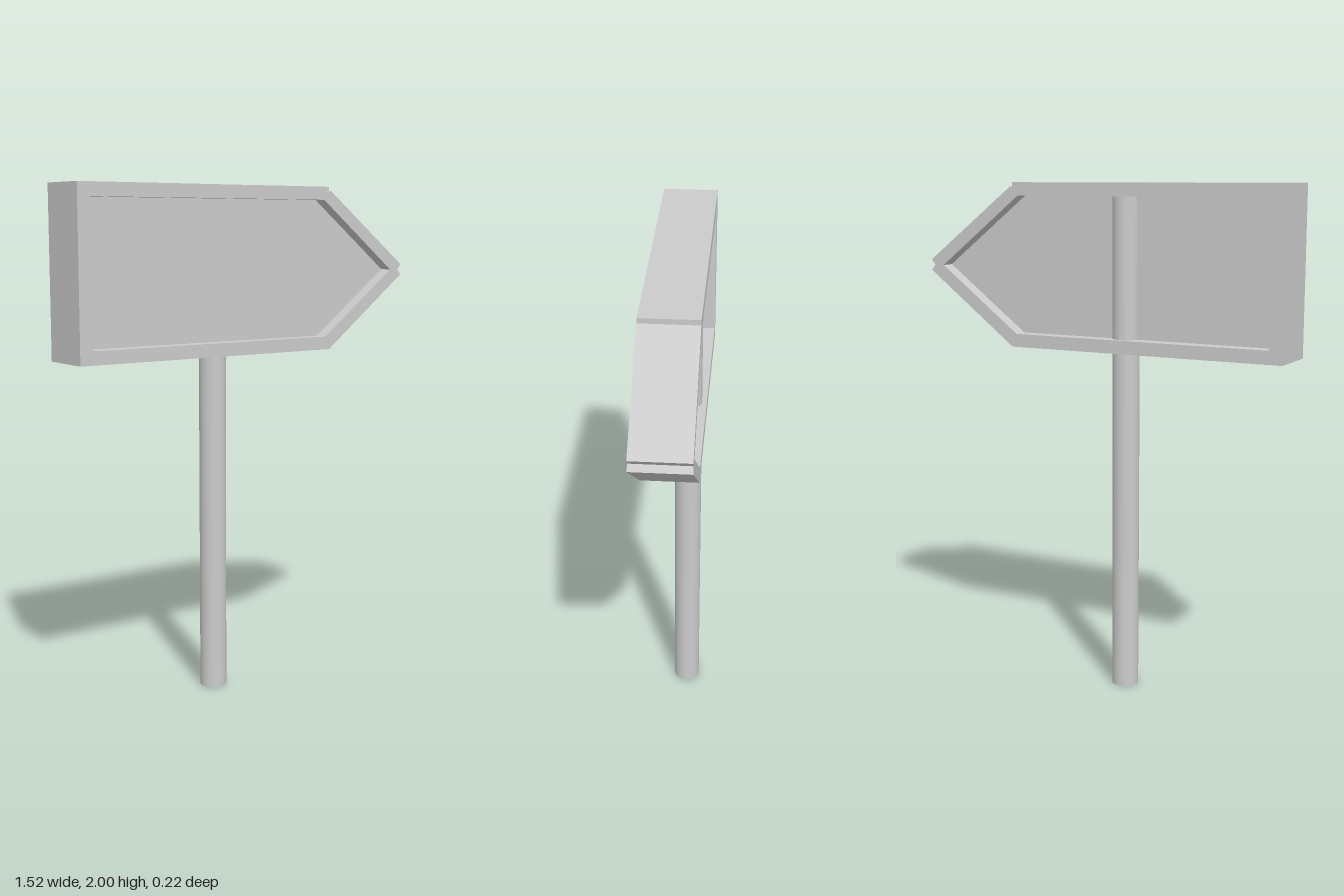
import * as THREE from 'three';

const material = new THREE.MeshStandardMaterial({ color: 0xcccccc });

const toPoints = (list) => list.map(([x, y]) => new THREE.Vector2(x, y));

// Extrudes a shape along z between two depths
function slab(name, shape, back, front) {
  const geometry = new THREE.ExtrudeGeometry(shape, { depth: front - back, bevelEnabled: false });
  geometry.translate(0, 0, back);
  const mesh = new THREE.Mesh(geometry, material);
  mesh.name = name;
  return mesh;
}

export function createModel() {
  const group = new THREE.Group();
  group.name = 'arrowSign';

  // Arrow outline with small notches where the frame boards meet
  const outer = toPoints([
    [-0.765, 1.355], [0.377, 1.355], [0.76, 1.648], [0.742, 1.669], [0.76, 1.69],
    [0.377, 1.985], [0.368, 1.977], [0.368, 2], [-0.765, 2],
  ]);
  const inner = toPoints([
    [-0.713, 1.407], [0.357, 1.407], [0.702, 1.669], [0.344, 1.949], [-0.713, 1.949],
  ]);

  // Raised frame around the arrow
  const frameShape = new THREE.Shape(outer);
  frameShape.holes.push(new THREE.Path(inner));
  group.add(slab('frame', frameShape, -0.108, 0.108));

  // Recessed panel inside the frame
  group.add(slab('panel', new THREE.Shape(inner), -0.05, 0.054));

  // Round post, half sunk into the back of the panel
  const height = 1.95;
  const post = new THREE.Mesh(new THREE.CylinderGeometry(0.053, 0.053, height, 32), material);
  post.position.set(-0.097, height / 2, -0.037);
  post.name = 'post';
  group.add(post);

  return group;
}
